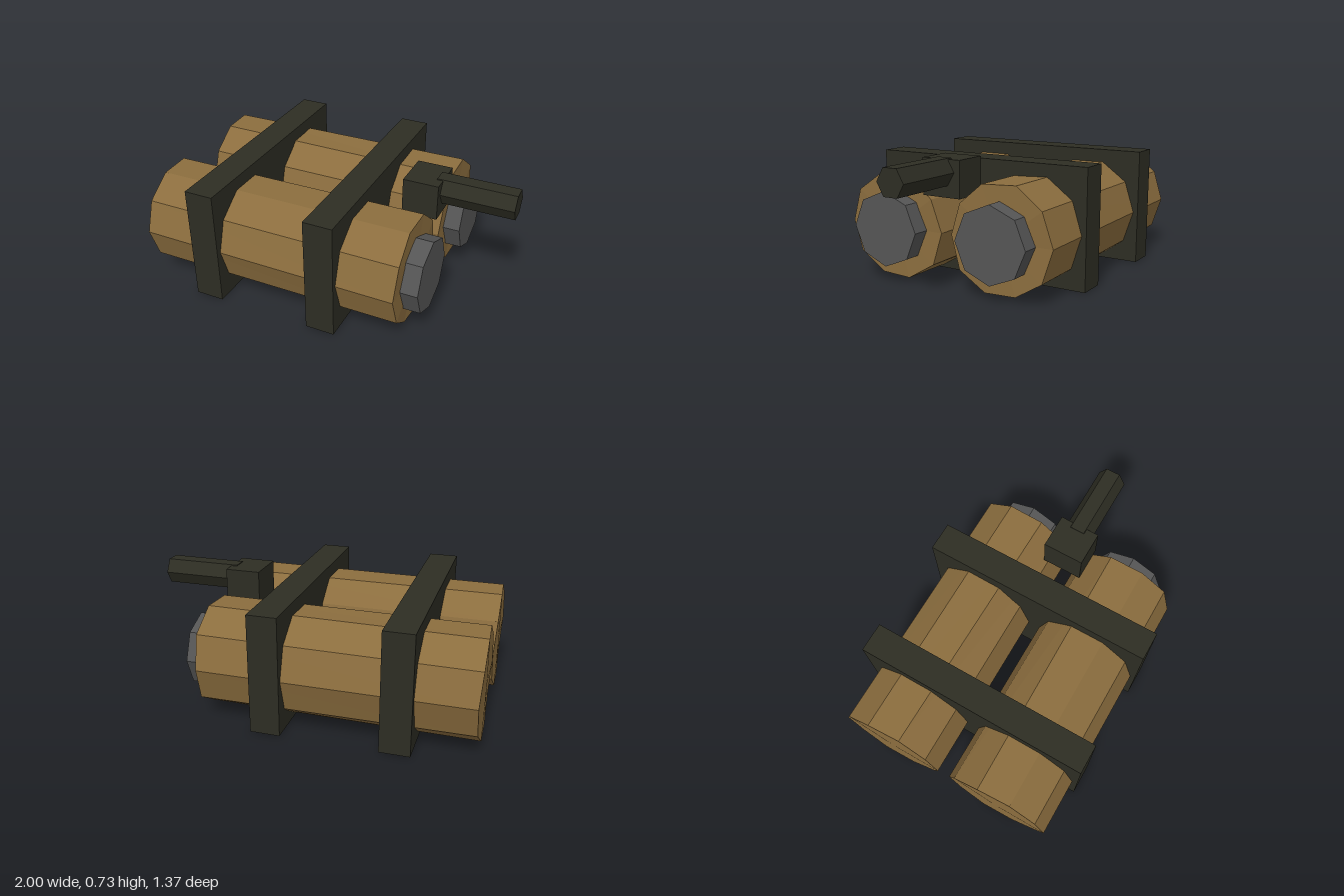
import * as THREE from 'three';

const wood = new THREE.MeshStandardMaterial({ color: 0x8b6d3e });
wood.name = 'tan casing';
const grey = new THREE.MeshStandardMaterial({ color: 0x555555 });
grey.name = 'grey metal';
const dark = new THREE.MeshStandardMaterial({ color: 0x2d2d23 });
dark.name = 'dark olive';

// Faceted mesh: unshared vertices give flat normals
function faceted(name, geometry, material) {
  const g = geometry.index ? geometry.toNonIndexed() : geometry;
  g.computeVertexNormals();
  const mesh = new THREE.Mesh(g, material);
  mesh.name = name;
  return mesh;
}

// Prism along x, from x0 to x1, with a corner pointing towards +z
function prism(r, sides, x0, x1, y, z) {
  return new THREE.CylinderGeometry(r, r, x1 - x0, sides)
    .rotateZ(-Math.PI / 2)
    .translate((x0 + x1) / 2, y, z);
}

function box(x0, x1, y0, y1, halfDepth) {
  return new THREE.BoxGeometry(x1 - x0, y1 - y0, 2 * halfDepth)
    .translate((x0 + x1) / 2, (y0 + y1) / 2, 0);
}

// Ten-sided tube whose +x end is a slightly uneven ring of [z, y] corners
function unevenTube(z, ring) {
  const cy = 0.312;
  const g = prism(0.31, 10, -0.995, 0.553, cy, z);
  const p = g.attributes.position;
  for (let i = 0; i < p.count; i++) {
    const dy = p.getY(i) - cy, dz = p.getZ(i) - z;
    if (Math.hypot(dy, dz) < 0.1) continue;
    const k = (Math.round(Math.atan2(-dy, dz) / (Math.PI / 5)) + 10) % 10;
    if (p.getX(i) > 0) p.setXYZ(i, 0.553 + 0.006 * Math.sin(k * 2.3), ring[k][1], ring[k][0]);
    else p.setX(i, -0.993 + 0.006 * Math.sin(k * 1.7));
  }
  return g;
}

export function createModel() {
  const model = new THREE.Group();
  model.name = 'strapped tubes';

  // Two tubes with octagonal end caps
  const tubes = [
    ['left', 0.345, [[0.66, 0.31], [0.6, 0.135], [0.45, 0.025], [0.255, 0.02], [0.085, 0.12],
      [0.03, 0.305], [0.09, 0.49], [0.235, 0.61], [0.44, 0.61], [0.6, 0.5]]],
    ['right', -0.348, [[-0.04, 0.31], [-0.095, 0.12], [-0.25, 0.015], [-0.445, 0.025], [-0.6, 0.12],
      [-0.66, 0.31], [-0.6, 0.5], [-0.445, 0.615], [-0.235, 0.605], [-0.1, 0.49]]],
  ];
  for (const [, z, ring] of tubes) {
    const side = z > 0 ? 'front' : 'back';
    model.add(faceted(side + 'Tube', unevenTube(z, ring), wood));
    model.add(faceted(side + 'EndCap', prism(0.215, 8, 0.5, 0.652, 0.31, Math.sign(z) * 0.345), grey));
  }

  // Two clamp plates around both tubes
  for (const x of [-0.58, 0.14]) {
    model.add(faceted('clampPlate', box(x - 0.085, x + 0.085, 0, 0.686, 0.686), dark));
  }

  // Block with a hexagonal rod between the tubes
  model.add(faceted('rodBlock', box(0.38, 0.585, 0.517, 0.724, 0.12), dark));
  model.add(faceted('rod', prism(0.085, 6, 0.55, 1, 0.655, 0), dark));

  return model;
}
